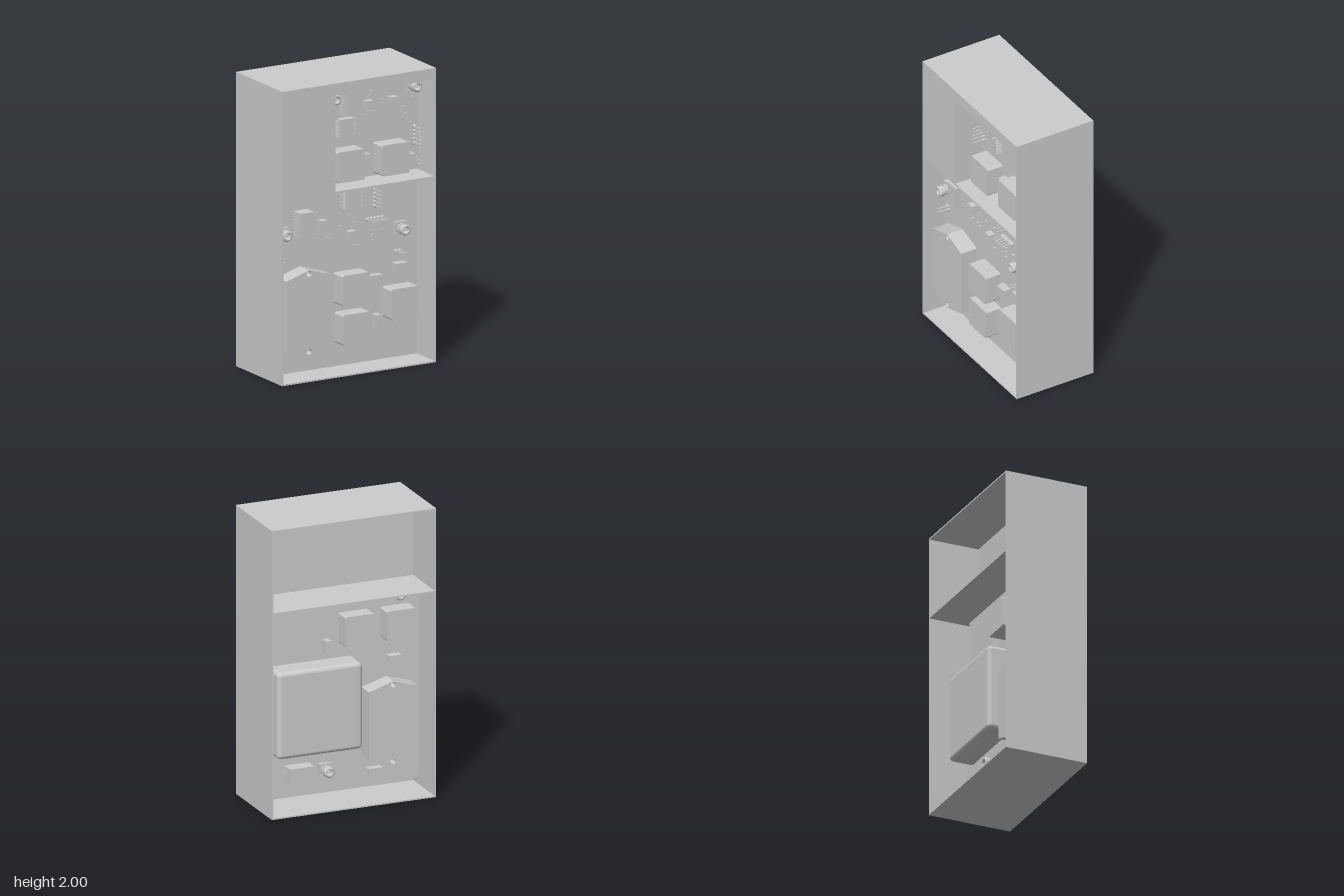
import * as THREE from 'three';
import { RoundedBoxGeometry } from 'three/addons/geometries/RoundedBoxGeometry.js';

const grey = new THREE.MeshStandardMaterial({ color: 0xcccccc });

function add(parent, name, geometry, x = 0, y = 0, z = 0) {
  const mesh = new THREE.Mesh(geometry, grey);
  mesh.name = name;
  mesh.position.set(x, y, z);
  parent.add(mesh);
  return mesh;
}

// Box given by its limits on each axis
function slab(parent, name, x0, x1, y0, y1, z0, z1) {
  return add(parent, name, new THREE.BoxGeometry(x1 - x0, y1 - y0, z1 - z0),
    (x0 + x1) / 2, (y0 + y1) / 2, (z0 + z1) / 2);
}

// Components below stand on a board whose surface is the local z = 0

// Plain block
function block(board, name, x, y, w, h, d) {
  return slab(board, name, x - w / 2, x + w / 2, y - h / 2, y + h / 2, 0, d);
}

// Square inductor with rounded upright corners
function inductor(board, x, y, size = 0.21, d = 0.115) {
  const s = new THREE.Shape(), a = size / 2, r = 0.014;
  s.absarc(a - r, a - r, r, 0, Math.PI / 2);
  s.absarc(r - a, a - r, r, Math.PI / 2, Math.PI);
  s.absarc(r - a, r - a, r, Math.PI, Math.PI * 1.5);
  s.absarc(a - r, r - a, r, Math.PI * 1.5, Math.PI * 2);
  add(board, 'inductor', new THREE.ExtrudeGeometry(s, { depth: d, bevelEnabled: false, curveSegments: 4 }), x, y, 0);
}

// Six-sided power module with two mounting holes
function powerModule(board, x, y) {
  const s = new THREE.Shape([[-0.175, 0.237], [-0.175, -0.237], [0, -0.29], [0.175, -0.237], [0.175, 0.237], [0, 0.29]]
    .map(([px, py]) => new THREE.Vector2(px, py)));
  for (const side of [-1, 1]) {
    const hole = new THREE.Path();
    hole.absarc(0, side * 0.265, 0.019, 0, Math.PI * 2, true);
    s.holes.push(hole);
  }
  add(board, 'powerModule', new THREE.ExtrudeGeometry(s, { depth: 0.12, bevelEnabled: false, curveSegments: 10 }), x, y, 0);
}

// Coaxial socket: square base with corner legs, ribbed hollow barrel, centre pin
function coaxSocket(board, x, y) {
  const g = new THREE.Group();
  g.name = 'coaxSocket';
  g.position.set(x, y, 0);
  board.add(g);
  block(g, 'socketBase', 0, 0, 0.084, 0.084, 0.025);
  const profile = [[0.028, 0.02], [0.028, 0.04], [0.037, 0.04], [0.037, 0.055], [0.03, 0.055], [0.03, 0.068],
    [0.037, 0.068], [0.037, 0.092], [0.029, 0.1], [0.023, 0.1], [0.023, 0.03], [0, 0.03]];
  // Doubled points keep the ring edges sharp
  const points = profile.flatMap(([r, h]) => [new THREE.Vector2(r, h), new THREE.Vector2(r, h)]);
  const barrel = add(g, 'socketBarrel', new THREE.LatheGeometry(points, 24));
  const pin = add(g, 'socketPin', new THREE.CylinderGeometry(0.008, 0.008, 0.06, 10), 0, 0, 0.06);
  barrel.rotation.x = pin.rotation.x = Math.PI / 2;
  for (const sx of [-1, 1]) for (const sy of [-1, 1]) block(g, 'socketLeg', sx * 0.035, sy * 0.035, 0.014, 0.014, 0.034);
}

// Row of header pins with chamfered insulators
function pinHeader(board, x, y, count, vertical) {
  for (let i = 0; i < count; i++) {
    const o = (i - (count - 1) / 2) * 0.0275;
    const px = vertical ? x : x + o, py = vertical ? y + o : y;
    const base = add(board, 'headerBase', new THREE.CylinderGeometry(0.0145, 0.0145, 0.026, 8).toNonIndexed(), px, py, 0.013);
    base.rotation.set(Math.PI / 2, Math.PI / 8, 0);
    base.geometry.computeVertexNormals();
    block(board, 'headerPin', px, py, 0.008, 0.008, 0.09);
  }
}

// Chip with bent leads on both sides
function chip(board, x, y, w, h, d, leads, reach) {
  block(board, 'chipBody', x, y, w, h, d);
  for (let i = 0; i < leads; i++) for (const side of [-1, 1]) {
    const ly = y + ((i + 0.5) / leads - 0.5) * h * 0.94;
    block(board, 'chipLeadFoot', x + side * (w / 2 + reach * 0.7), ly, reach * 0.6, 0.007, 0.006);
    const arm = block(board, 'chipLeadArm', x + side * (w / 2 + reach * 0.25), ly, reach * 0.5, 0.007, d * 0.55);
    arm.position.z += 0.003;
  }
}

// Capacitor with end clamps
function capacitor(board, x, y, vertical) {
  const w = vertical ? 0.046 : 0.09, h = vertical ? 0.09 : 0.046;
  block(board, 'capacitorBody', x, y, w, h, 0.055);
  for (const s of [-1, 1])
    block(board, 'capacitorClamp', x + (vertical ? 0 : s * 0.043), y + (vertical ? s * 0.043 : 0),
      vertical ? 0.034 : 0.008, vertical ? 0.008 : 0.034, 0.028);
}

// Small passive parts
function passives(board, spots) {
  for (const [x, y] of spots) block(board, 'resistor', x, y, 0.02, 0.014, 0.012);
}

function boardGroup(parent, name, z, back = false) {
  const g = new THREE.Group();
  g.name = name;
  g.position.z = z;
  if (back) g.rotation.y = Math.PI;
  parent.add(g);
  return g;
}

export function createModel() {
  const model = new THREE.Group();
  const X = 0.588, Z = 0.295, t = 0.01;

  // Open housing with a dividing wall and shelves
  const housing = new THREE.Group();
  housing.name = 'housing';
  model.add(housing);
  slab(housing, 'leftWall', X - t, X, 0, 2, -Z, Z);
  slab(housing, 'rightWall', -X, -X + t, 0, 2, -Z, Z);
  slab(housing, 'floor', -X + t, X - t, 0, t, -Z, Z);
  slab(housing, 'roof', -X + t, X - t, 2 - t, 2, -Z, Z);
  slab(housing, 'dividingWall', -X + t, X - t, t, 2 - t, 0.06, 0.07);
  slab(housing, 'rearShelf', -X + t, X - t, 1.42, 1.43, -Z, 0.06);
  slab(housing, 'frontShelf', -X + t, X - t, 1.25, 1.265, 0.07, Z);
  slab(housing, 'frontPanel', -X + t, -0.19, 1.265, 2 - t, Z - t, Z);
  slab(housing, 'bayWall', -0.19, -0.18, 1.265, 1.92, 0.07, Z);
  slab(housing, 'bayRoof', -0.19, X - t, 1.92, 1.93, 0.07, Z);
  slab(housing, 'topPanel', -0.19, X - t, 1.93, 2 - t, Z - t, Z);

  // Lower front board
  const lower = boardGroup(model, 'lowerFrontBoard', 0.13);
  slab(lower, 'circuitBoard', -0.578, 0.525, 0.07, 1.25, -0.018, 0);
  powerModule(lower, -0.355, 0.455);
  for (const [x, y] of [[0.01, 0.563], [0.015, 0.295], [0.383, 0.418]]) inductor(lower, x, y);
  for (const [x, y] of [[-0.503, 0.99], [0.4, 0.907]]) coaxSocket(lower, x, y);
  chip(lower, 0.037, 1.148, 0.105, 0.13, 0.045, 8, 0.035);
  chip(lower, -0.35, 1.04, 0.105, 0.175, 0.09, 8, 0.008);
  block(lower, 'smallChip', -0.195, 1.015, 0.055, 0.055, 0.045);
  block(lower, 'smallChip', 0.023, 0.912, 0.055, 0.055, 0.045);
  capacitor(lower, 0.203, 0.595, false);
  capacitor(lower, 0.393, 0.652, false);
  capacitor(lower, 0.22, 0.3, true);
  pinHeader(lower, 0.217, 1.135, 5, true);
  pinHeader(lower, 0.217, 0.992, 5, false);
  pinHeader(lower, -0.522, 0.823, 2, true);
  pinHeader(lower, 0.392, 0.746, 2, false);
  passives(lower, [[-0.23, 1.09], [-0.215, 0.912], [-0.155, 0.91], [-0.12, 0.902], [-0.055, 0.975], [0.053, 0.985],
    [0.057, 0.832], [0.195, 0.91], [0.195, 0.882], [0.197, 0.842], [0.285, 0.908]]);

  // Upper front board
  const upper = boardGroup(model, 'upperFrontBoard', 0.1);
  slab(upper, 'circuitBoard', -0.172, 0.576, 1.28, 1.918, -0.018, 0);
  inductor(upper, -0.012, 1.397);
  inductor(upper, 0.33, 1.397);
  coaxSocket(upper, -0.112, 1.855);
  coaxSocket(upper, 0.507, 1.86);
  chip(upper, 0, 1.635, 0.105, 0.13, 0.045, 8, 0.035);
  chip(upper, 0.022, 1.816, 0.105, 0.17, 0.09, 8, 0.008);
  block(upper, 'smallChip', 0.172, 1.77, 0.055, 0.055, 0.045);
  block(upper, 'smallChip', 0.36, 1.772, 0.055, 0.055, 0.045);
  capacitor(upper, 0.15, 1.395, true);
  capacitor(upper, 0.495, 1.352, true);
  pinHeader(upper, -0.135, 1.63, 5, true);
  pinHeader(upper, -0.147, 1.403, 2, true);
  pinHeader(upper, 0.54, 1.51, 5, true);
  pinHeader(upper, 0.545, 1.333, 2, true);
  passives(upper, [[0.207, 1.848], [0.288, 1.785], [0.288, 1.757], [0.41, 1.77], [0.515, 1.768], [0.15, 1.692],
    [0.212, 1.71], [0.448, 1.71], [0.465, 1.66], [0.49, 1.463]]);

  // Rear board, turned to face backwards so its local x is mirrored
  const rear = boardGroup(model, 'rearBoard', -0.03, true);
  slab(rear, 'circuitBoard', -0.525, 0.578, 0.07, 1.415, -0.018, 0);
  const converter = add(rear, 'largeConverter', new RoundedBoxGeometry(0.61, 0.6, 0.19, 4, 0.03), -0.195, 0.667, 0.07);
  converter.name = 'largeConverter';
  powerModule(rear, 0.345, 0.5);
  inductor(rear, 0.112, 1.17);
  inductor(rear, 0.41, 1.17);
  for (const [x, y] of [[-0.1, 0.21], [0.41, 1.37]]) coaxSocket(rear, x, y);
  chip(rear, -0.295, 0.215, 0.175, 0.105, 0.09, 6, 0.008);
  chip(rear, 0.25, 0.15, 0.1, 0.06, 0.05, 4, 0.01);
  capacitor(rear, -0.09, 1.06, true);
  capacitor(rear, 0.39, 0.92, false);
  for (const [x, y] of [[-0.46, 0.13], [0.03, 1.375]]) {
    const pad = add(rear, 'mountingPad', new THREE.CylinderGeometry(0.028, 0.028, 0.006, 20), x, y, 0.002);
    pad.rotation.x = Math.PI / 2;
  }
  return model;
}
